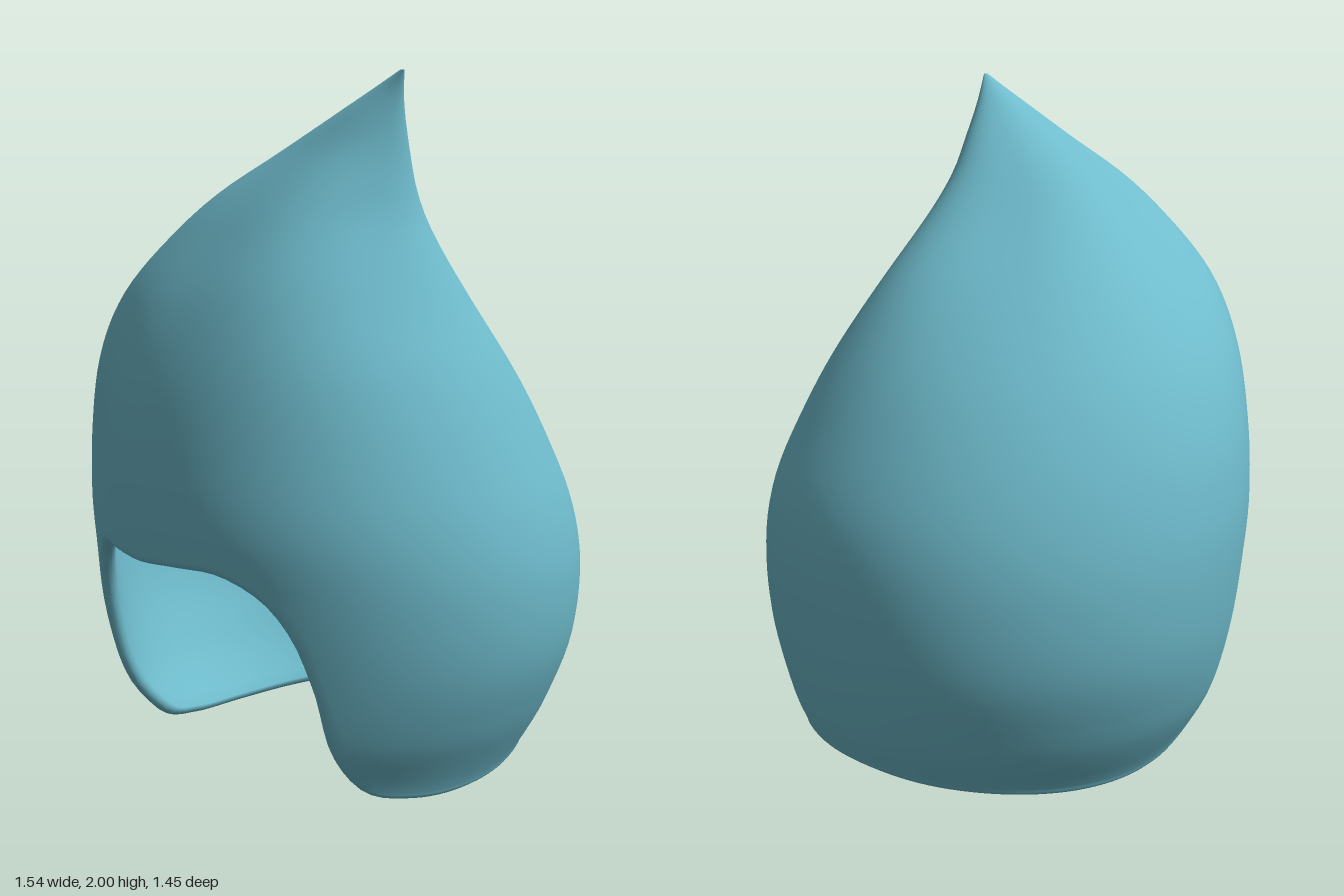
import * as THREE from 'three';

// Horizontal sections: y, xMin, xMax, zBack, zFront
const SECTIONS = [
  [0.00, -0.53, 0.53, -0.58, 0.51],
  [0.10, -0.60, 0.59, -0.645, 0.565],
  [0.20, -0.66, 0.65, -0.68, 0.61],
  [0.40, -0.74, 0.735, -0.72, 0.645],
  [0.62, -0.77, 0.77, -0.727, 0.69],
  [0.80, -0.76, 0.757, -0.695, 0.728],
  [1.00, -0.71, 0.71, -0.605, 0.732],
  [1.20, -0.61, 0.65, -0.49, 0.705],
  [1.40, -0.44, 0.575, -0.34, 0.635],
  [1.60, -0.20, 0.515, -0.14, 0.52],
  [1.70, -0.06, 0.503, -0.04, 0.45],
  [1.80, 0.13, 0.503, 0.05, 0.37],
  [1.90, 0.33, 0.515, 0.14, 0.30],
  [1.96, 0.45, 0.53, 0.19, 0.257],
  [2.00, 0.535, 0.548, 0.225, 0.235],
];

// Half of the hem: angle from the front in degrees, height
const HEM = [
  [0, 0.715], [12, 0.722], [23, 0.715], [32, 0.65], [37.5, 0.55], [42, 0.4],
  [48.5, 0.2], [57, 0.08], [72, 0.037], [95, 0.03], [135, 0.065], [160, 0.09], [180, 0.094],
];

const COLS = 128, ROWS = 48, RIM = 8, WALL = 0.05, INNER_TOP = 1.7;

// Smooth interpolation of the section table at height y
function sectionAt(y) {
  const S = SECTIONS, last = S.length - 1;
  const yy = Math.min(2, Math.max(0, y));
  let i = 0;
  while (i < last - 1 && S[i + 1][0] < yy) i++;
  const slope = (j, k) => {
    const a = S[Math.max(0, j - 1)], b = S[Math.min(last, j + 1)];
    return (b[k] - a[k]) / (b[0] - a[0]);
  };
  const h = S[i + 1][0] - S[i][0], t = (yy - S[i][0]) / h, t2 = t * t, t3 = t2 * t;
  return [1, 2, 3, 4].map(k =>
    (2 * t3 - 3 * t2 + 1) * S[i][k] + (t3 - 2 * t2 + t) * h * slope(i, k) +
    (3 * t2 - 2 * t3) * S[i + 1][k] + (t3 - t2) * h * slope(i + 1, k));
}

const bell = (d, width) => Math.exp(-((d / width) ** 2) / 2);

// Departure of a section from a plain ellipse
function roundness(angle, y) {
  const away = centre => Math.atan2(Math.sin(angle - centre), Math.cos(angle - centre));
  const diagonal = Math.sin(2 * angle) ** 2;
  // Flattened right side of the brow, fuller back, neck pinched behind and full in front
  const brow = 0.09 * bell(y - 0.95, 0.28) * bell(away(-0.5), 0.27);
  const back = 0.015 * diagonal * Math.max(0, -Math.cos(angle));
  const neck = 0.12 * bell(y - 1.58, 0.24) * diagonal * Math.cos(angle);
  return 1 - brow + back + neck;
}

// Point on the hood wall, moved inward by inset
function wallPoint(angle, y, inset = 0) {
  const [x0, x1, z0, z1] = sectionAt(y);
  const f = roundness(angle, y);
  const rx = Math.max(0, (x1 - x0) / 2 - inset) * f;
  const rz = Math.max(0, (z1 - z0) / 2 - inset) * f;
  return new THREE.Vector3(
    (x0 + x1) / 2 + rx * Math.sin(angle), y, (z0 + z1) / 2 + rz * Math.cos(angle));
}

// Evenly spaced points around the whole hem, as angle and height
function hemPoints() {
  const half = HEM.map(([a, y]) => new THREE.Vector3(THREE.MathUtils.degToRad(a), y, 0));
  const mirrored = half.slice(1).reverse().map(p => new THREE.Vector3(-p.x, p.y, 0));
  const curve = new THREE.CatmullRomCurve3([...mirrored, ...half], false, 'centripetal');
  curve.arcLengthDivisions = 800;
  return curve.getSpacedPoints(COLS).slice(0, COLS);
}

function hoodGeometry() {
  const hem = hemPoints();
  const outerHem = hem.map(p => wallPoint(p.x, p.y));
  const innerHem = hem.map(p => wallPoint(p.x, p.y, WALL));
  const spread = (c, t) => {
    const even = -Math.PI + (2 * Math.PI * c) / COLS;
    return THREE.MathUtils.lerp(hem[c].x, even, 1 - (1 - t) ** 2);
  };
  const rows = [];
  const addRow = fn => rows.push(hem.map((p, c) => fn(p, c)));

  // Outside, from the tip down to the hem
  for (let r = 0; r <= ROWS; r++) {
    const t = 1 - r / ROWS;
    addRow((p, c) => wallPoint(spread(c, t), THREE.MathUtils.lerp(p.y, 2, t)));
  }
  // Rounded rim from the outer to the inner wall
  for (let r = 1; r < RIM; r++) {
    const a = (Math.PI * r) / RIM;
    addRow((p, c) => {
      const mid = outerHem[c].clone().add(innerHem[c]).multiplyScalar(0.5);
      const half = outerHem[c].clone().sub(mid);
      const along = outerHem[(c + 1) % COLS].clone().sub(outerHem[(c + COLS - 1) % COLS]);
      const down = along.cross(half).setLength(half.length());
      return mid.addScaledVector(half, Math.cos(a)).addScaledVector(down, Math.sin(a));
    });
  }
  // Inside, from the hem up to a closed top
  for (let r = 0; r <= ROWS; r++) {
    const t = r / ROWS;
    addRow((p, c) => wallPoint(spread(c, t), THREE.MathUtils.lerp(p.y, INNER_TOP, t), WALL));
  }
  addRow(() => wallPoint(0, INNER_TOP + 0.03, 1));

  const index = [];
  for (let r = 0; r < rows.length - 1; r++) {
    for (let c = 0; c < COLS; c++) {
      const n = (c + 1) % COLS;
      const a = r * COLS + c, b = a + COLS, d = (r + 1) * COLS + n, e = r * COLS + n;
      index.push(a, b, e, b, d, e);
    }
  }
  const geometry = new THREE.BufferGeometry().setFromPoints(rows.flat());
  geometry.setIndex(index);
  geometry.computeVertexNormals();
  return geometry;
}

export function createModel() {
  const group = new THREE.Group();
  group.name = 'pointedHood';
  const material = new THREE.MeshStandardMaterial({ color: 0x6fbccd });
  material.name = 'softBlue';
  const hood = new THREE.Mesh(hoodGeometry(), material);
  hood.name = 'hood';
  group.add(hood);
  return group;
}
